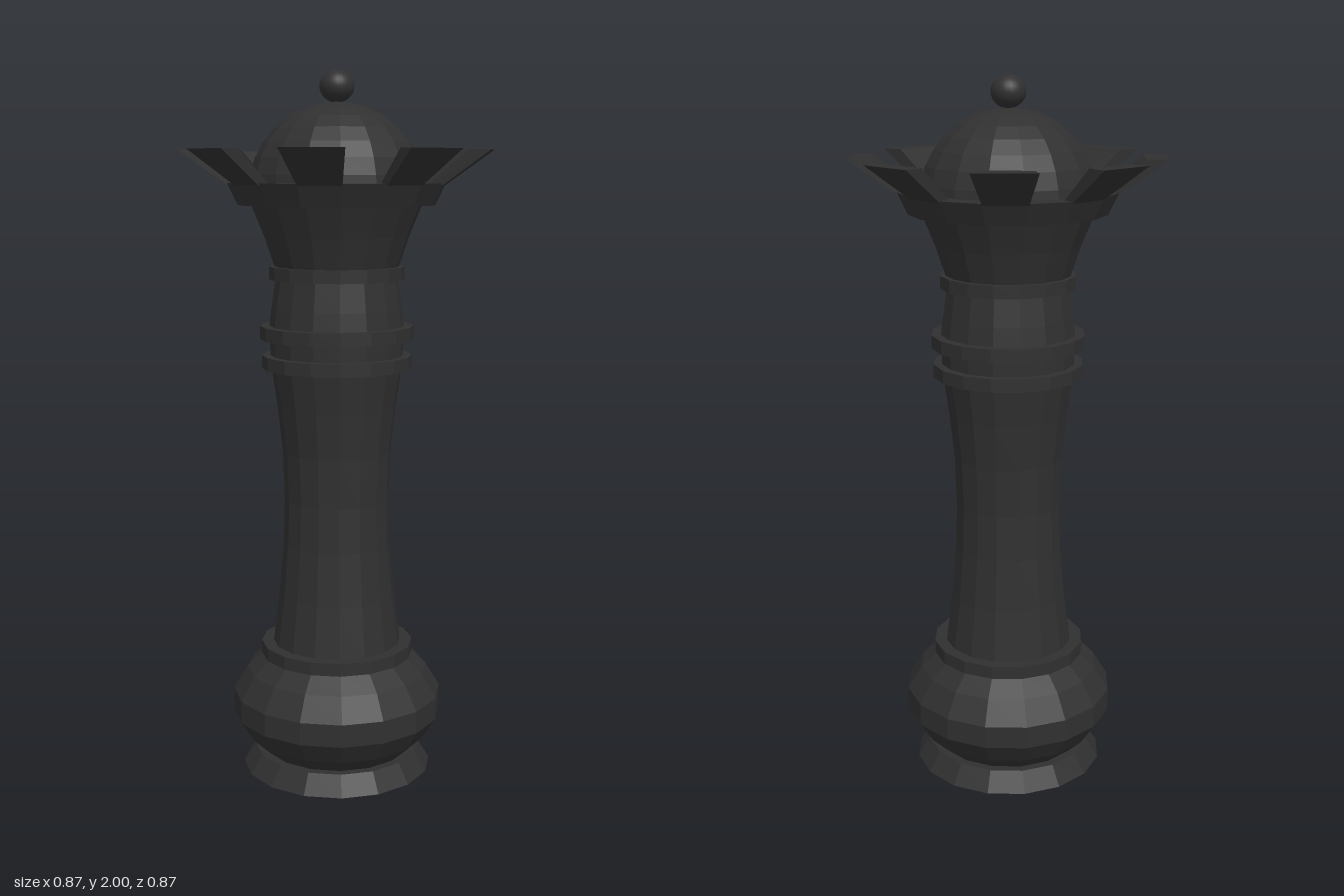
import * as THREE from 'three';
import { ConvexGeometry } from 'three/addons/geometries/ConvexGeometry.js';

const SIDES = 16;

export function createModel() {
  const group = new THREE.Group();
  const flat = new THREE.MeshStandardMaterial({ color: 0x303030, flatShading: true });
  const smooth = new THREE.MeshStandardMaterial({ color: 0x303030 });

  const add = (name, geometry, material = flat) => {
    const mesh = new THREE.Mesh(geometry, material);
    mesh.name = name;
    group.add(mesh);
    return mesh;
  };
  // Turned part from [radius, height] pairs, listed bottom to top
  const turn = (name, profile) =>
    add(name, new THREE.LatheGeometry(profile.map(([r, y]) => new THREE.Vector2(r, y)), SIDES));
  const collar = (name, r, y0, y1) => turn(name, [[0, y0], [r, y0], [r, y1], [0, y1]]);

  // Foot and bulging base
  turn('foot', [[0, 0], [0.275, 0], [0.24, 0.055], [0, 0.055]]);
  turn('baseBulge', [[0, 0.05], [0.21, 0.05], [0.262, 0.1], [0.303, 0.163], [0.303, 0.228],
    [0.262, 0.295], [0.21, 0.342], [0, 0.342]]);
  collar('baseCollar', 0.22, 0.338, 0.375);

  // Waisted shaft and neck
  turn('shaft', [[0.185, 0.375], [0.167, 0.52], [0.154, 0.67], [0.15, 0.8], [0.155, 0.94],
    [0.169, 1.07], [0.185, 1.18]]);
  collar('lowerNeckCollar', 0.212, 1.18, 1.217);
  turn('neck', [[0.188, 1.217], [0.19, 1.3], [0.184, 1.35], [0.172, 1.43]]);
  collar('middleNeckCollar', 0.217, 1.263, 1.3);
  collar('upperNeckCollar', 0.19, 1.43, 1.466);

  // Flared cup with its lip
  turn('crownCup', [[0.175, 1.466], [0.203, 1.55], [0.238, 1.635], [0.275, 1.635],
    [0.304, 1.695], [0.22, 1.695]]);

  // Slanted crown points on every second side
  const section = [[0.262, 1.69], [0.304, 1.69], [0.437, 1.785], [0.375, 1.785]];
  const step = (Math.PI * 2) / SIDES;
  for (let i = 0; i < SIDES; i += 2) {
    const corners = [i * step, (i + 1) * step].flatMap((a) =>
      section.map(([r, y]) => new THREE.Vector3(r * Math.cos(a), y, r * Math.sin(a))));
    add(`crownPoint${i / 2 + 1}`, new ConvexGeometry(corners));
  }

  // Dome and finial ball
  const dome = add('dome', new THREE.SphereGeometry(0.245, SIDES, 8, 0, Math.PI * 2, 0, Math.PI / 2));
  dome.position.y = 1.67;
  const ball = add('finialBall', new THREE.SphereGeometry(0.048, 24, 16), smooth);
  ball.scale.y = 0.92;
  ball.position.y = 1.956;

  return group;
}
